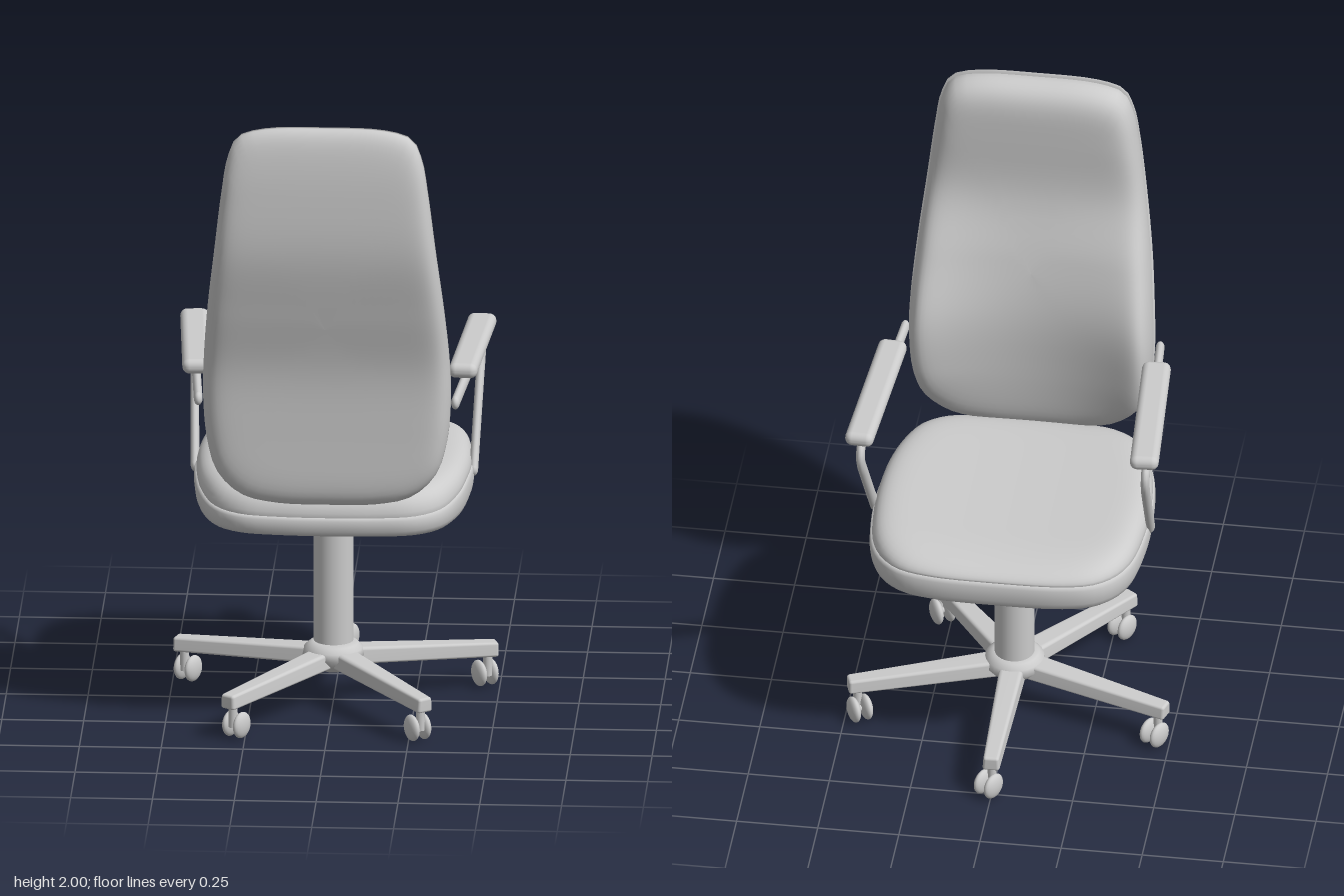
import * as THREE from 'three';
import { RoundedBoxGeometry } from 'three/addons/geometries/RoundedBoxGeometry.js';
import { mergeVertices } from 'three/addons/utils/BufferGeometryUtils.js';

const material = new THREE.MeshStandardMaterial({ color: 0xcccccc, side: THREE.DoubleSide });

function add(parent, name, geometry, x = 0, y = 0, z = 0) {
  const mesh = new THREE.Mesh(geometry, material);
  mesh.name = name;
  mesh.position.set(x, y, z);
  parent.add(mesh);
  return mesh;
}

// Closed smooth outline from its +x half, mirrored
function outline(half) {
  const mirrored = half.filter(p => p[0] > 0).reverse().map(([x, v]) => [-x, v]);
  const pts = [...half, ...mirrored].map(([x, v]) => new THREE.Vector3(x, v, 0));
  return new THREE.CatmullRomCurve3(pts, true).getSpacedPoints(96).slice(0, 96);
}

// Smooth function through evenly spaced values between lo and hi
function profile(lo, hi, values) {
  const curve = new THREE.SplineCurve(values.map((v, i) => new THREE.Vector2(i, v)));
  return y => curve.getPoint(THREE.MathUtils.clamp((y - lo) / (hi - lo), 0, 1)).y;
}

// Rings [scale, height] of a padded dome, from its rim to its centre
function dome(scale, power) {
  const rings = [];
  for (let i = 0; i <= 20; i++) {
    const t = 1 - (i / 20) ** 2;
    rings.push([t * scale, Math.sqrt(1 - t ** power)]);
  }
  return rings;
}

// Surface of concentric copies of an outline, each placed by a rule
function ringSurface(loop, centre, rings, place, flip) {
  const n = loop.length, pos = [], idx = [];
  for (const [s, k] of rings)
    for (const p of loop) pos.push(...place(p.x * s, centre + (p.y - centre) * s, k));
  for (let i = 0; i < rings.length - 1; i++)
    for (let j = 0; j < n; j++) {
      const a = i * n + j, b = i * n + (j + 1) % n, c = a + n, d = b + n;
      if (flip) idx.push(a, c, b, b, c, d);
      else idx.push(a, b, c, b, d, c);
    }
  const g = new THREE.BufferGeometry();
  g.setAttribute('position', new THREE.Float32BufferAttribute(pos, 3));
  g.setIndex(idx);
  g.computeVertexNormals();
  return g;
}

function buildBackrest(root) {
  const group = new THREE.Group();
  group.name = 'backrest';
  root.add(group);
  const loop = outline([[0, 0.76], [0.16, 0.765], [0.26, 0.79], [0.335, 0.86], [0.367, 0.96], [0.379, 1.1],
    [0.376, 1.22], [0.362, 1.4], [0.339, 1.6], [0.315, 1.8], [0.298, 1.9], [0.267, 1.967], [0.19, 1.993], [0, 2.0]]);
  const seam = profile(0.8, 2, [0.4, 0.366, 0.38, 0.437, 0.48, 0.495, 0.49]);
  const front = profile(0.8, 2, [0.35, 0.335, 0.33, 0.36, 0.41, 0.41, 0.4]);
  const wrap = profile(0.8, 2, [0.06, 0.095, 0.095, 0.05, 0.005, 0, 0]);
  const back = profile(0.8, 2, [0.45, 0.45, 0.46, 0.505, 0.545, 0.548, 0.535]);
  const cushionZ = (x, y) => front(y) - wrap(y) * (x / 0.375) ** 2;
  add(group, 'backCushion', ringSurface(loop, 1.35, [[0.98, -0.1], ...dome(0.988, 15)],
    (x, y, k) => [x, y, seam(y) + (cushionZ(x, y) - seam(y)) * k], true));
  add(group, 'backShell', ringSurface(loop, 1.35, [[0.95, 0], ...dome(1, 18)],
    (x, y, k) => [x, y, seam(y) + (back(y) - seam(y)) * k], false));
}

function buildSeat(root) {
  const group = new THREE.Group();
  group.name = 'seat';
  root.add(group);
  const loop = outline([[0, -0.442], [0.2, -0.435], [0.3, -0.41], [0.36, -0.36], [0.4, -0.28], [0.422, -0.12],
    [0.42, 0.05], [0.395, 0.22], [0.345, 0.34], [0.27, 0.395], [0.15, 0.415], [0, 0.42]]);
  const seam = z => 0.748 - 0.09 * Math.max(0, z - 0.1);
  const top = (x, z) => 0.798 + 0.016 * (x / 0.4) ** 2 - 0.5 * Math.max(0, -z - 0.25) ** 2;
  add(group, 'seatCushion', ringSurface(loop, 0, [[0.98, -0.15], ...dome(0.99, 12)],
    (x, z, k) => [x, seam(z) + (top(x, z) - seam(z)) * k, z], true));
  // Shell with rolled rim and hollow underside; second value runs from the rim bottom (0) to the seam (1)
  const rings = [[0.95, 1], [0.995, 1], [1.005, 0.85], [1.008, 0.6], [1, 0.3], [0.985, 0.1], [0.965, 0],
    [0.925, 0], [0.9, 0.12], [0.875, 0.5], [0.855, 0.72], [0.81, 0.8], [0.4, 0.82], [0, 0.82]];
  add(group, 'seatShell', ringSurface(loop, 0, rings,
    (x, z, k) => [x, 0.658 + (seam(z) - 0.658) * k, z], false));
}

function buildArm(root, side) {
  const group = new THREE.Group();
  group.name = side > 0 ? 'leftArm' : 'rightArm';
  root.add(group);
  const pad = add(group, 'armPad', new RoundedBoxGeometry(0.088, 0.047, 0.53, 4, 0.022), side * 0.423, 1.134, -0.034);
  pad.rotation.y = -side * 0.066;

  // Oval tube: a round one narrowed sideways
  const narrow = 0.64;
  const v = (x, y, z) => new THREE.Vector3(side * x / narrow, y, z);
  const path = new THREE.CurvePath();
  const bend = [v(0.436, 1.088, -0.19), v(0.442, 1.088, -0.3), v(0.436, 0.985, -0.228)];
  path.add(new THREE.LineCurve3(v(0.393, 1.088, 0.385), bend[0]));
  path.add(new THREE.QuadraticBezierCurve3(...bend));
  path.add(new THREE.LineCurve3(bend[2], v(0.426, 0.732, -0.05)));
  add(group, 'armTube', new THREE.TubeGeometry(path, 80, 0.021, 14).scale(narrow, 1, 1));
  for (const t of [0, 1]) {
    const p = path.getPoint(t);
    add(group, 'armTubeEnd', new THREE.SphereGeometry(0.021, 14, 10).scale(narrow, 1, 1), p.x * narrow, p.y, p.z);
  }
}

// Softly rounded leg along -z, narrowing and sinking toward its tip
function legGeometry() {
  const box = new RoundedBoxGeometry(0.05, 0.05, 0.48, 3, 0.009);
  box.deleteAttribute('normal');
  box.deleteAttribute('uv');
  const leg = mergeVertices(box);
  const p = leg.attributes.position;
  const { lerp } = THREE.MathUtils;
  for (let j = 0; j < p.count; j++) {
    const t = 0.5 - p.getZ(j) / 0.48, h = p.getY(j) / 0.05 + 0.5;
    const width = lerp(1.7, 1.06, t) * lerp(1, 0.88, h);
    p.setXYZ(j, p.getX(j) * width, lerp(lerp(0.12, 0.1, t), lerp(0.174, 0.146, t), h), p.getZ(j) - 0.277);
  }
  leg.computeVertexNormals();
  return leg;
}

function buildBase(root) {
  const base = new THREE.Group();
  base.name = 'base';
  root.add(base);
  add(base, 'column', new THREE.CylinderGeometry(0.061, 0.061, 0.56, 32), 0, 0.455, -0.004);
  const hub = [[0, 0.097], [0.032, 0.097], [0.04, 0.12], [0.075, 0.125], [0.095, 0.15], [0.09, 0.172],
    [0.075, 0.186], [0.061, 0.193], [0, 0.193]];
  add(base, 'hub', new THREE.LatheGeometry(hub.map(p => new THREE.Vector2(...p)), 32));

  for (let i = 0; i < 5; i++) {
    const spoke = new THREE.Group();
    spoke.name = 'spoke';
    spoke.rotation.y = i * Math.PI * 2 / 5;
    base.add(spoke);
    add(spoke, 'leg', legGeometry());

    // Twin-wheel caster trailing from its stem; all roll roughly front to back
    const caster = new THREE.Group();
    caster.name = 'caster';
    caster.position.set(0, 0.042, -0.487);
    caster.rotation.y = (i > 2 ? 0.55 : -0.55) - spoke.rotation.y;
    spoke.add(caster);
    for (const s of [-1, 1])
      add(caster, 'wheel', new THREE.SphereGeometry(0.041, 20, 14).scale(0.42, 1, 1), s * 0.02, 0, -0.018);
    add(caster, 'axle', new THREE.CylinderGeometry(0.01, 0.01, 0.05, 12).rotateZ(Math.PI / 2), 0, 0, -0.018);
    add(caster, 'casterStem', new THREE.CylinderGeometry(0.014, 0.014, 0.075, 12), 0, 0.033, 0);
  }
}

export function createModel() {
  const root = new THREE.Group();
  root.name = 'officeChair';
  buildBackrest(root);
  buildSeat(root);
  for (const side of [-1, 1]) buildArm(root, side);
  buildBase(root);
  return root;
}
